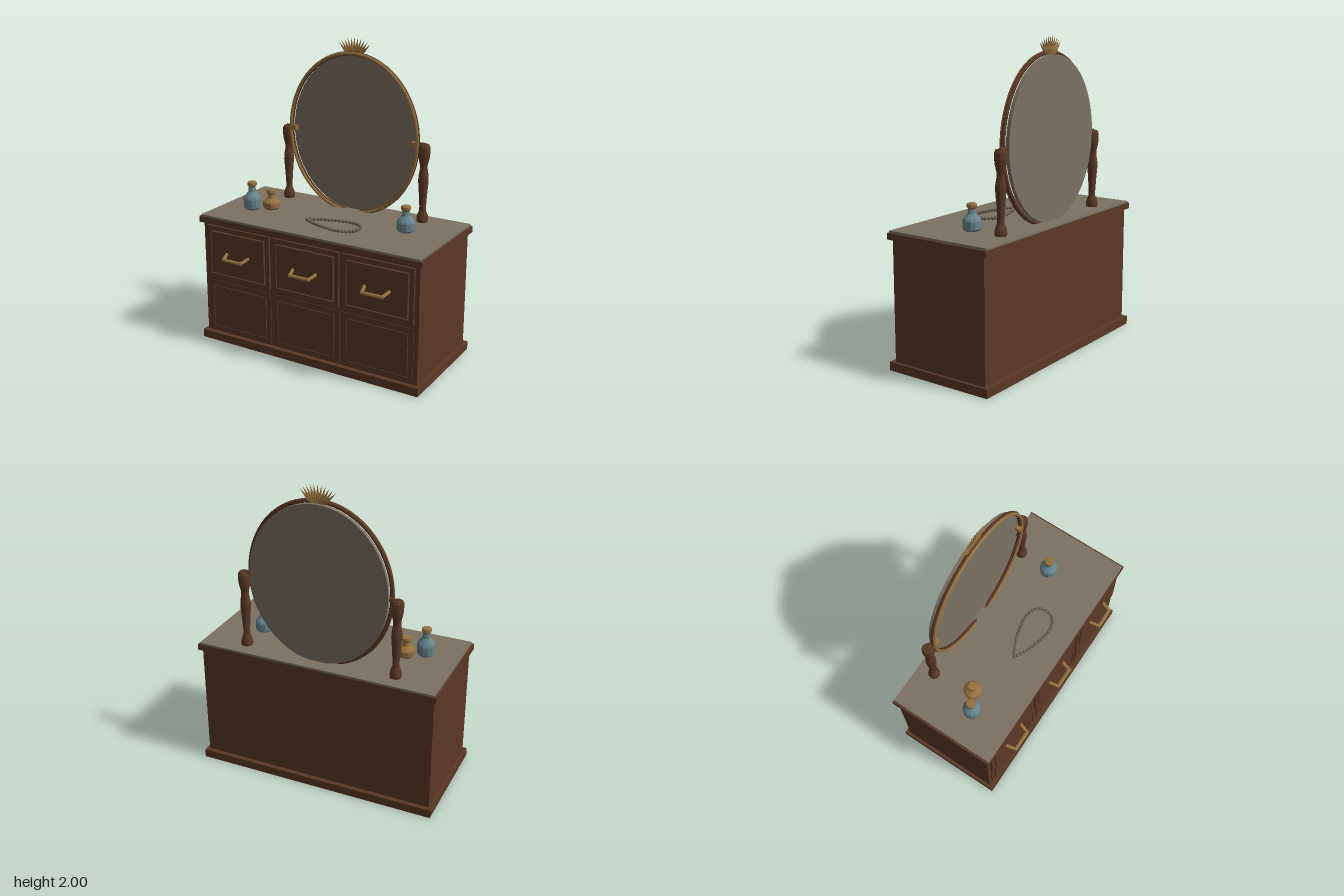
import * as THREE from 'three';

const mat = (name, color, flatShading = false) => {
  const m = new THREE.MeshStandardMaterial({ color, flatShading });
  m.name = name;
  return m;
};

export function createModel() {
  const wood = mat('walnut wood', 0x5a3825, true);
  const stone = mat('grey stone and glass', 0x7c7262, true);
  const bronze = mat('bronze', 0x94703f, true);
  const glass = mat('blue bottle glass', 0x66868d, true);
  const bead = mat('bead', 0x6c6054);

  const model = new THREE.Group();
  model.name = 'dressingTable';

  const add = (name, geo, material, x = 0, y = 0, z = 0, parent = model) => {
    const m = new THREE.Mesh(geo, material);
    m.name = name;
    m.position.set(x, y, z);
    parent.add(m);
    return m;
  };
  // box given by its limits
  const box = (name, material, x0, x1, y0, y1, z0, z1) =>
    add(name, new THREE.BoxGeometry(x1 - x0, y1 - y0, z1 - z0), material,
      (x0 + x1) / 2, (y0 + y1) / 2, (z0 + z1) / 2);
  const lathe = (points, sides) =>
    new THREE.LatheGeometry(points.map(([r, y]) => new THREE.Vector2(r, y)), sides);
  const rod = (name, a, b, r, material, parent) => {
    const d = b.clone().sub(a);
    const m = add(name, new THREE.CylinderGeometry(r, r, d.length(), 8), material, 0, 0, 0, parent);
    m.position.copy(a).add(b).multiplyScalar(0.5);
    m.quaternion.setFromUnitVectors(new THREE.Vector3(0, 1, 0), d.normalize());
  };

  // cabinet
  box('plinth', wood, -0.8, 0.8, 0, 0.055, -0.4, 0.34);
  box('cabinet', wood, -0.78, 0.78, 0.055, 0.82, -0.37, 0.308);
  box('topMoulding', wood, -0.8, 0.8, 0.818, 0.858, -0.395, 0.335);
  box('stoneTop', stone, -0.787, 0.787, 0.858, 0.87, -0.392, 0.33);

  // drawer and door fronts: a rim with a recessed centre panel
  const front = (name, cx, y0, y1, z, rim) => {
    const w = 0.243, s = new THREE.Shape(), h = new THREE.Path();
    s.moveTo(-w, y0).lineTo(w, y0).lineTo(w, y1).lineTo(-w, y1).closePath();
    h.moveTo(-w + rim, y0 + rim).lineTo(-w + rim, y1 - rim)
      .lineTo(w - rim, y1 - rim).lineTo(w - rim, y0 + rim).closePath();
    s.holes.push(h);
    add(name + 'Rim', new THREE.ExtrudeGeometry(s, { depth: z - 0.305, bevelEnabled: false }),
      wood, cx, 0, 0.305);
    const g = rim + 0.008;
    box(name + 'Panel', wood, cx - w + g, cx + w - g, y0 + g, y1 - g, 0.3, z + 0.003);
  };
  for (const cx of [-0.508, 0, 0.508]) {
    front('drawer', cx, 0.445, 0.805, 0.325, 0.03);
    front('door', cx, 0.065, 0.42, 0.313, 0.03);

    // drawer pull
    const pull = new THREE.Group();
    pull.name = 'drawerPull';
    pull.position.x = cx;
    model.add(pull);
    for (const s of [-1, 1]) {
      rod('pullArm', new THREE.Vector3(s * 0.085, 0.63, 0.322),
        new THREE.Vector3(s * 0.068, 0.613, 0.388), 0.011, bronze, pull);
    }
    rod('pullBar', new THREE.Vector3(-0.074, 0.613, 0.388),
      new THREE.Vector3(0.074, 0.613, 0.388), 0.012, bronze, pull);
  }

  // oval mirror
  const cy = 1.375;
  const oval = (name, rx, ry, z, tube, material) => {
    const pts = [];
    for (let i = 0; i < 48; i++) {
      const a = i / 48 * Math.PI * 2;
      pts.push(new THREE.Vector3(Math.cos(a) * rx, Math.sin(a) * ry, 0));
    }
    const path = new THREE.CatmullRomCurve3(pts, true);
    add(name, new THREE.TubeGeometry(path, 64, tube, 8, true), material, 0, cy, z);
  };
  oval('mirrorFrame', 0.464, 0.521, -0.266, 0.014, wood);
  oval('mirrorFrameTrim', 0.465, 0.522, -0.256, 0.0105, bronze);
  const disc = new THREE.CylinderGeometry(1, 1, 0.024, 64).rotateX(Math.PI / 2).scale(0.452, 0.51, 1);
  add('mirrorGlass', disc, stone, 0, cy, -0.291);

  // fan crest
  const crest = new THREE.Group();
  crest.name = 'crest';
  crest.position.set(0, 1.885, -0.278);
  model.add(crest);
  for (let i = -5; i <= 5; i++) {
    const len = 0.115 - Math.abs(i) * 0.002;
    const leaf = new THREE.ConeGeometry(0.011, len * 0.75, 6).translate(0, len * 0.625, 0);
    const stem = new THREE.CylinderGeometry(0.011, 0.006, len * 0.3, 6).translate(0, len * 0.12, 0);
    for (const g of [leaf, stem]) add('crestLeaf', g, bronze, i * 0.008, 0, 0, crest).rotation.z = -i * 0.155;
  }

  // turned posts and pivots
  const postProfile = [[0, 0], [0.036, 0], [0.038, 0.02], [0.034, 0.045], [0.022, 0.075], [0.021, 0.1],
    [0.026, 0.18], [0.033, 0.27], [0.032, 0.3], [0.024, 0.35], [0.024, 0.37], [0.035, 0.42],
    [0.038, 0.45], [0.037, 0.49], [0.03, 0.505], [0, 0.505]];
  for (const s of [-1, 1]) {
    add('mirrorPost', lathe(postProfile, 12), wood, s * 0.503, 0.868, -0.28);
    add('pivotRod', new THREE.CylinderGeometry(0.012, 0.012, 0.08, 8).rotateZ(Math.PI / 2),
      wood, s * 0.47, 1.372, -0.28);
    add('pivotBlock', new THREE.BoxGeometry(0.035, 0.03, 0.04), bronze, s * 0.442, 1.37, -0.266);
  }

  // bottles
  const bottle = (name, x, z, h, material) => {
    const body = [[0, 0], [0.045, 0], [0.056, 0.012], [0.058, 0.07 * h], [0.052, 0.085 * h],
      [0.026, 0.118 * h], [0.022, 0.15 * h], [0, 0.15 * h]];
    add(name, lathe(body, 12), material, x, 0.87, z);
    const cap = [[0, 0], [0.022, 0], [0.031, 0.012], [0.031, 0.03], [0.024, 0.035], [0, 0.035]];
    add(name + 'Stopper', lathe(cap, 12), bronze, x, 0.87 + 0.15 * h, z);
  };
  bottle('tallBottle', -0.572, 0.058, 1, glass);
  bottle('shortBottle', -0.465, -0.008, 0.64, bronze);
  bottle('rightBottle', 0.495, -0.062, 0.87, glass);

  // bead necklace
  const half = [[-0.09, 0.025], [-0.03, 0.053], [0.05, 0.076], [0.13, 0.09], [0.2, 0.076], [0.238, 0.04]];
  const loop = [[-0.13, 0], ...half, [0.245, 0], ...half.map(([x, z]) => [x, -z]).reverse()];
  const thread = new THREE.CatmullRomCurve3(loop.map(([x, z]) => new THREE.Vector3(x, 0.88, 0.083 + z)), true);
  const beadGeo = new THREE.SphereGeometry(0.0115, 10, 8);
  thread.getSpacedPoints(38).slice(0, 38).forEach(p => add('necklaceBead', beadGeo, bead, p.x, p.y, p.z));

  return model;
}
